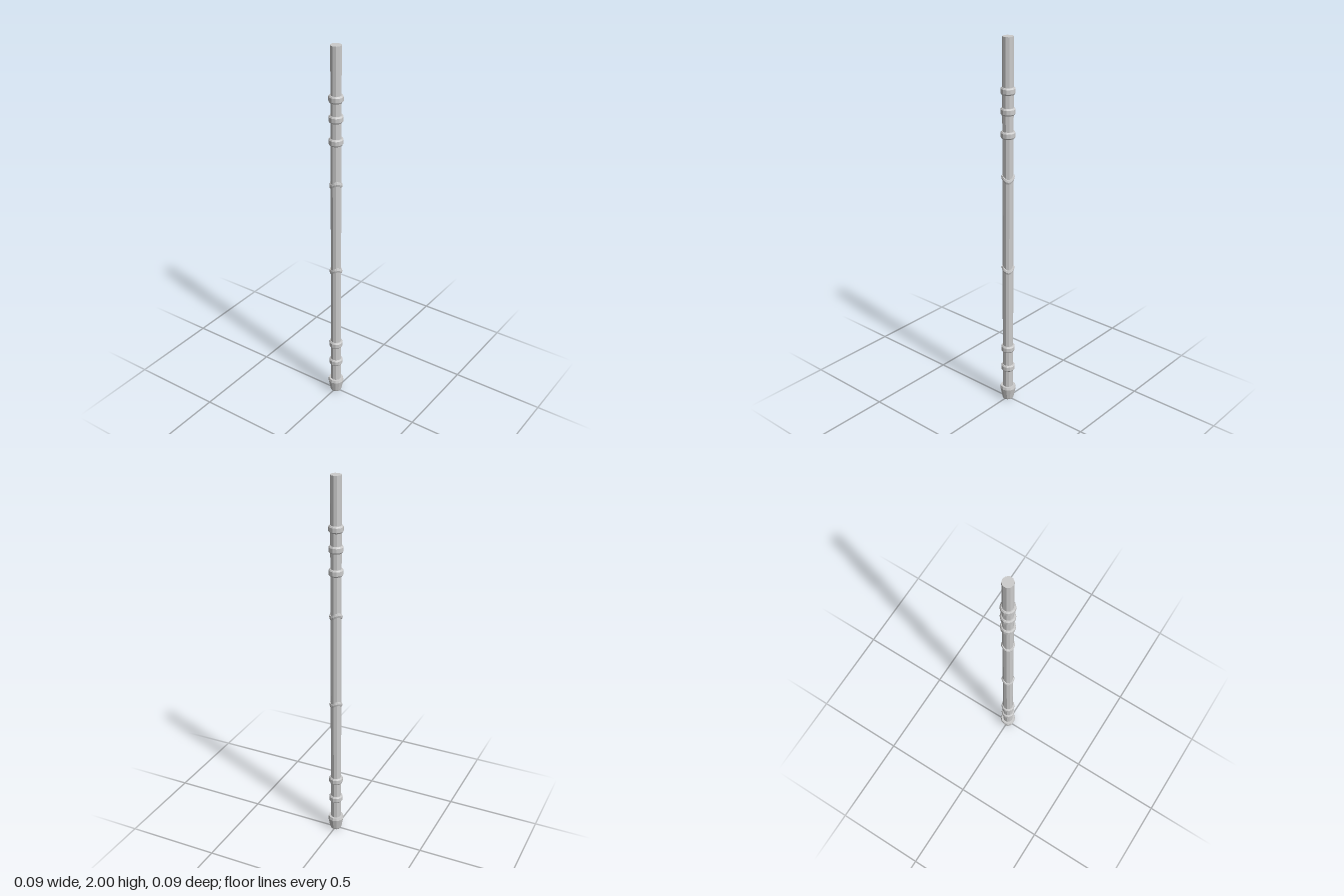
import * as THREE from 'three';

const material = new THREE.MeshStandardMaterial({ color: 0xcccccc, flatShading: true });
const POLE_R = 0.028;

// Faceted turned part from [radius, y] pairs listed bottom to top
function turned(name, profile, sides, y) {
  const geometry = new THREE.LatheGeometry(profile.map(([r, h]) => new THREE.Vector2(r, h)), sides);
  const mesh = new THREE.Mesh(geometry, material);
  mesh.name = name;
  mesh.position.y = y;
  return mesh;
}

// Thin band whose height rises and dips twice around the pole
function wavyBand(name, y) {
  const band = turned(name, [[0.024, -0.013], [0.031, -0.011], [0.034, 0], [0.031, 0.011], [0.024, 0.013]], 16, y);
  const p = band.geometry.attributes.position;
  for (let i = 0; i < p.count; i++) {
    const angle = Math.atan2(p.getZ(i), p.getX(i));
    p.setY(i, p.getY(i) - 0.010 * Math.sin(2 * angle));
  }
  band.geometry.computeVertexNormals();
  return band;
}

export function createModel() {
  const model = new THREE.Group();
  model.name = 'pole';

  // Long shaft
  const shaft = new THREE.Mesh(new THREE.CylinderGeometry(POLE_R, POLE_R, 1.96, 10), material);
  shaft.name = 'shaft';
  shaft.position.y = 1.02;
  shaft.rotation.y = Math.PI / 2;
  model.add(shaft);

  // Tapered foot
  model.add(turned('foot', [[0, 0], [0.028, 0], [0.031, 0.006], [0.043, 0.066], [0.039, 0.08], [0, 0.08]], 12, 0));

  // Bevelled rings
  const ring = [[0.024, -0.018], [0.032, -0.018], [0.037, -0.011], [0.037, 0.011], [0.032, 0.018], [0.024, 0.018]];
  for (const y of [0.197, 0.315, 1.517, 1.636, 1.738]) model.add(turned('ring', ring, 12, y));

  // Wavy bands around the middle
  model.add(wavyBand('lowerBand', 0.787));
  model.add(wavyBand('upperBand', 1.287));

  return model;
}
